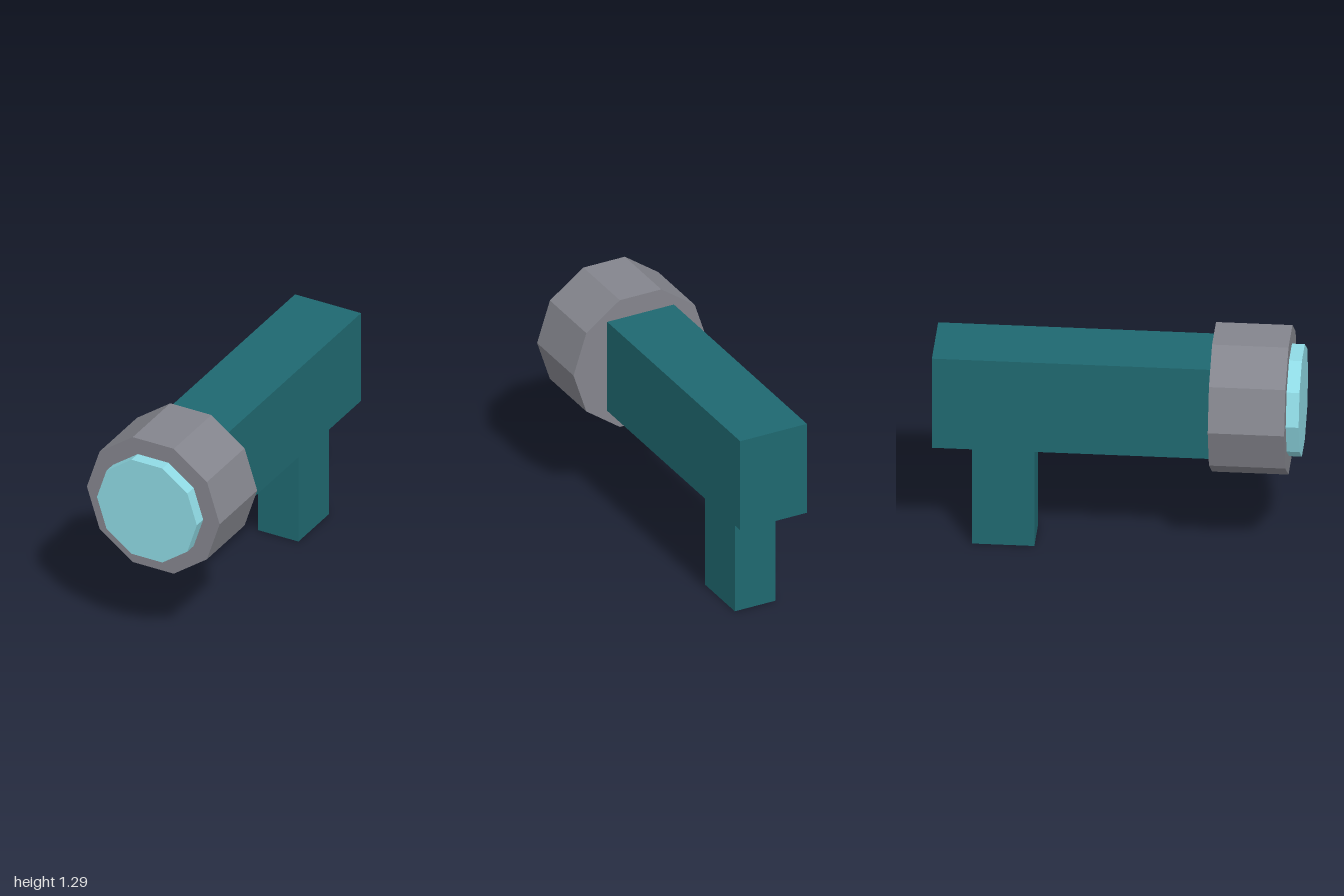
import * as THREE from 'three';

const SIDES = 10;
const AXIS_Y = 0.897; // height of the lamp axis

export function createModel() {
  const group = new THREE.Group();
  const paint = (color) => new THREE.MeshStandardMaterial({ color, flatShading: true });
  const teal = paint(0x1f6870);
  const grey = paint(0x84858d);
  const glass = paint(0x8fdae4);

  const add = (name, geometry, material) => {
    const mesh = new THREE.Mesh(geometry, material);
    mesh.name = name;
    group.add(mesh);
  };

  // Box given by its width and its y and z extents, centred on x
  const box = (width, y0, y1, z0, z1) =>
    new THREE.BoxGeometry(width, y1 - y0, z1 - z0)
      .translate(0, (y0 + y1) / 2, (z0 + z1) / 2);

  // Ten-sided drum along z, with corners at the far left and right
  const drum = (radius, z0, z1) =>
    new THREE.CylinderGeometry(radius, radius, z1 - z0, SIDES, 1, false, Math.PI / 2)
      .rotateX(Math.PI / 2)
      .translate(0, AXIS_Y, (z0 + z1) / 2);

  add('body', box(0.41, 0.625, 1.175, -1, 0.52), teal);
  add('handle', box(0.25, 0, 0.625, -0.79, -0.45), teal);
  add('headRing', drum(0.412, 0.515, 0.93), grey);
  add('lens', drum(0.31, 0.93, 1), glass);

  return group;
}
